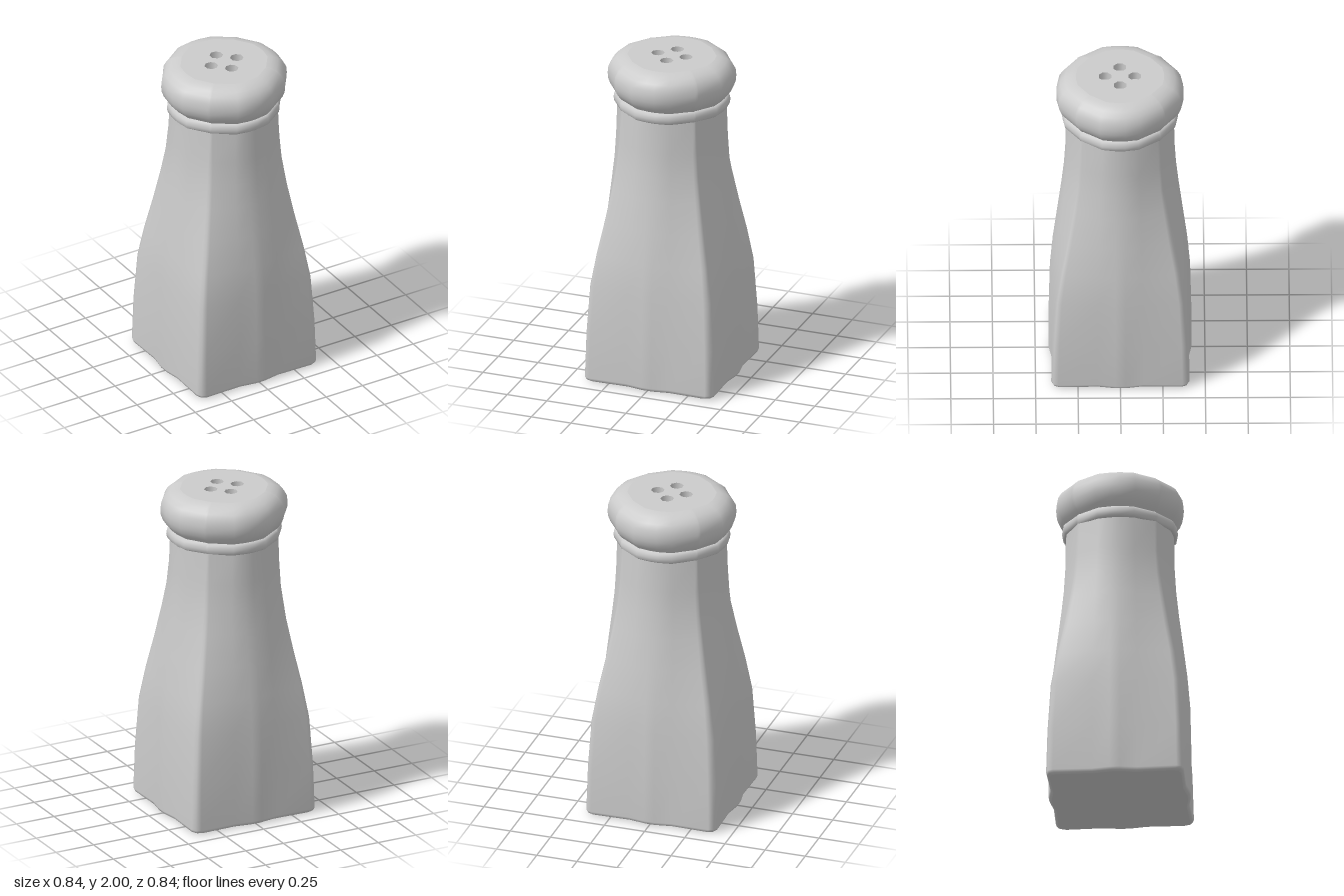
import * as THREE from 'three';

const grey = new THREE.MeshStandardMaterial({ color: 0xcccccc });
const grey2 = new THREE.MeshStandardMaterial({ color: 0xcccccc, side: THREE.DoubleSide });

// Four-way symmetric outline: a, w = middle of the side; b, h = edge of its bulge; c, d = rounded corner
function section(a, w, b, h, c, d) {
  const m = c * 0.7 + d * 0.3;
  const quarter = [[a, w], [b, h], [c, d], [m, m], [d, c], [h, b], [w, a]];
  const out = [];
  for (let q = 0; q < 4; q++) {
    for (const [x, z] of quarter) {
      out.push([[x, z], [-z, x], [-x, -z], [z, -x]][q]);
    }
  }
  return out;
}

// Nearly round outline used by the collar and the cap
const round = r => section(r, r * 0.08, r * 0.96, r * 0.32, r * 0.71, r * 0.67);

// Skin through rings of { y, pts }, listed from bottom to top
function loft(rings) {
  const n = rings[0].pts.length;
  const pos = [];
  const index = [];
  for (const { y, pts } of rings) for (const [x, z] of pts) pos.push(x, y, z);
  for (let i = 0; i < rings.length - 1; i++) {
    for (let j = 0; j < n; j++) {
      const a = i * n + j, b = i * n + (j + 1) % n;
      index.push(a, a + n, b, b, a + n, b + n);
    }
  }
  const g = new THREE.BufferGeometry();
  g.setAttribute('position', new THREE.Float32BufferAttribute(pos, 3));
  g.setIndex(index);
  g.computeVertexNormals();
  return g;
}

const toShape = pts => new THREE.Shape(pts.map(([x, z]) => new THREE.Vector2(x, z)));

export function createModel() {
  const group = new THREE.Group();
  const add = (name, geometry, material = grey) => {
    const mesh = new THREE.Mesh(geometry, material);
    mesh.name = name;
    group.add(mesh);
    return mesh;
  };

  // Body: square foot blending into a round neck
  const bodyRings = [
    [0, 0.40, 0.03, 0.383, 0.13, 0.388, 0.345],
    [0.008, 0.414, 0.03, 0.397, 0.13, 0.402, 0.357],
    [0.025, 0.421, 0.03, 0.403, 0.135, 0.408, 0.365],
    [0.3, 0.420, 0.03, 0.402, 0.135, 0.400, 0.36],
    [0.6, 0.413, 0.03, 0.396, 0.135, 0.382, 0.345],
    [0.8, 0.396, 0.03, 0.381, 0.13, 0.350, 0.32],
    [1.0, 0.371, 0.03, 0.358, 0.125, 0.313, 0.285],
    [1.2, 0.346, 0.03, 0.334, 0.12, 0.279, 0.255],
    [1.35, 0.330, 0.028, 0.318, 0.115, 0.257, 0.236],
    [1.5, 0.321, 0.026, 0.310, 0.11, 0.245, 0.226],
    [1.7, 0.318, 0.025, 0.306, 0.103, 0.236, 0.22],
  ].map(([y, ...p]) => ({ y, pts: section(...p) }));
  add('body', loft(bodyRings));
  add('bodyBase', new THREE.ShapeGeometry(toShape(bodyRings[0].pts)).rotateX(Math.PI / 2));

  // Collar bead below the cap
  add('collar', loft([[1.69, 0.30], [1.692, 0.325], [1.702, 0.337], [1.725, 0.341],
    [1.748, 0.337], [1.76, 0.325], [1.765, 0.30]].map(([y, r]) => ({ y, pts: round(r) }))));

  // Bulging cap
  add('cap', loft([[1.755, 0.315], [1.768, 0.328], [1.785, 0.343], [1.81, 0.36], [1.845, 0.373],
    [1.88, 0.375], [1.92, 0.371], [1.955, 0.352], [1.98, 0.324], [1.995, 0.288],
    [2.0, 0.26]].map(([y, r]) => ({ y, pts: round(r) }))));

  // Flat cap top with four octagonal holes
  const top = toShape(round(0.26));
  const depth = 0.05, holeR = 0.04;
  for (let i = 0; i < 4; i++) {
    const angle = i * Math.PI / 2;
    const cx = 0.088 * Math.cos(angle), cz = 0.088 * Math.sin(angle);
    const corners = [];
    for (let k = 0; k < 8; k++) {
      const t = (k + 0.5) * Math.PI / 4;
      corners.push(new THREE.Vector2(cx + holeR * Math.cos(t), -cz + holeR * Math.sin(t)));
    }
    top.holes.push(new THREE.Path(corners));
    const wall = new THREE.CylinderGeometry(holeR, holeR, depth, 8, 1, true);
    add('holeWall', wall.rotateY(Math.PI / 8), grey2).position.set(cx, 2 - depth / 2, cz);
    const floor = new THREE.CircleGeometry(holeR, 8, Math.PI / 8);
    add('holeFloor', floor.rotateX(-Math.PI / 2)).position.set(cx, 2 - depth, cz);
  }
  add('capTop', new THREE.ShapeGeometry(top).rotateX(-Math.PI / 2)).position.y = 2;

  return group;
}
